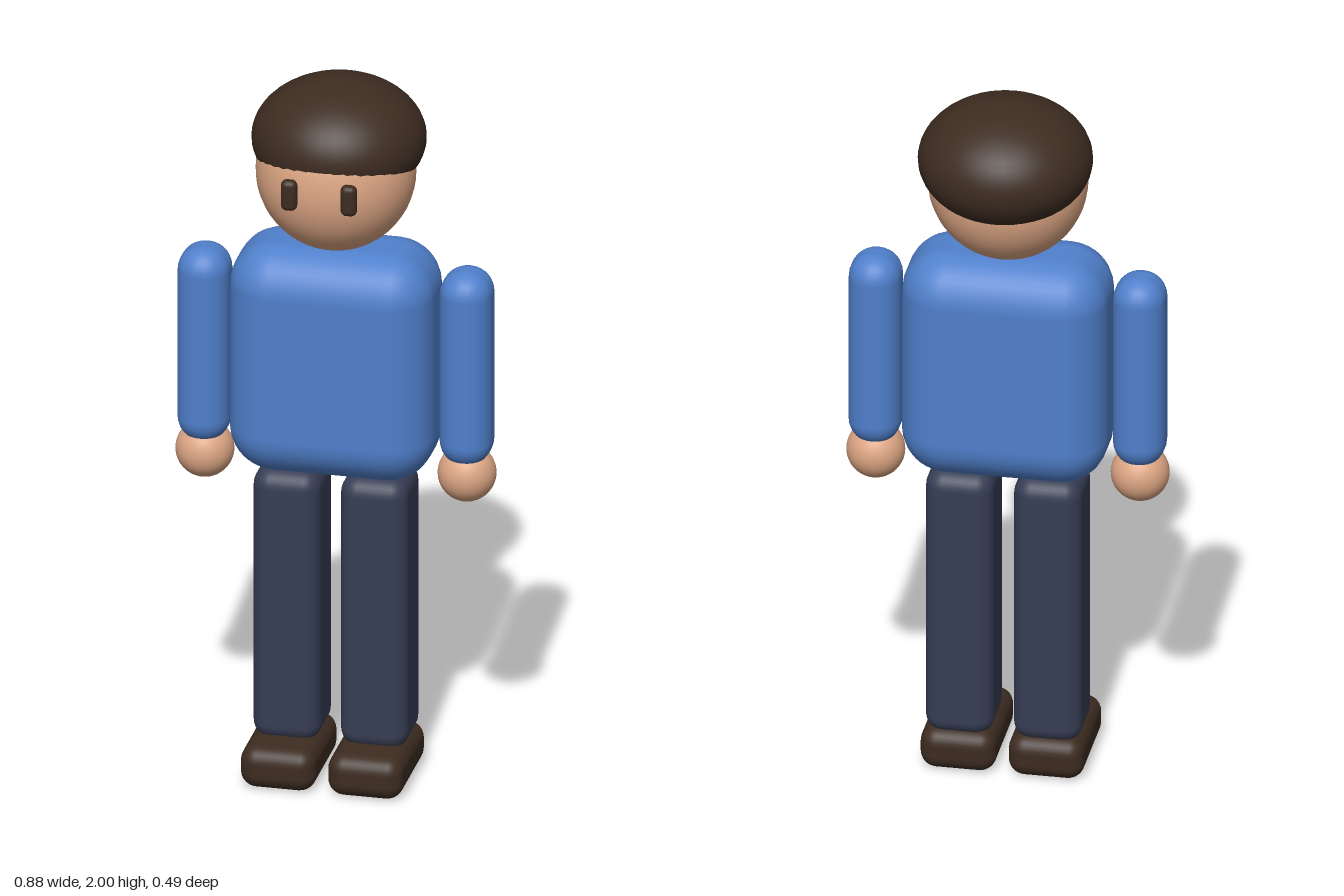
import * as THREE from 'three';
import { RoundedBoxGeometry } from 'three/addons/geometries/RoundedBoxGeometry.js';

function material(name, color) {
  const m = new THREE.MeshStandardMaterial({ color });
  m.name = name;
  return m;
}

export function createModel() {
  const model = new THREE.Group();
  model.name = 'standingMan';

  const skin = material('skin', 0xdca583);
  const brown = material('darkBrown', 0x3d2c21);
  const blue = material('shirtBlue', 0x5080cc);
  const navy = material('trouserNavy', 0x373e55);
  const Z = 0.024; // shared depth centre of the body

  function add(name, geometry, mat, x, y, z) {
    const mesh = new THREE.Mesh(geometry, mat);
    mesh.name = name;
    mesh.position.set(x, y, z);
    model.add(mesh);
    return mesh;
  }
  const box = (w, h, d, r) => new RoundedBoxGeometry(w, h, d, 4, r);
  const ball = (rx, ry, rz) => new THREE.SphereGeometry(1, 40, 28).scale(rx, ry, rz);

  // Head, with a flattened cap of hair set higher and further back
  add('head', ball(0.216, 0.222, 0.205), skin, 0, 1.755, Z);
  add('hair', ball(0.235, 0.165, 0.232), brown, 0, 1.835, -0.013);

  // Torso
  add('torso', box(0.56, 0.66, 0.322, 0.125), blue, 0, 1.215, Z);

  // Paired parts
  for (const [side, s] of [['left', 1], ['right', -1]]) {
    add(side + 'Eye', box(0.044, 0.088, 0.034, 0.016), brown, s * 0.082, 1.758, 0.226);
    add(side + 'Arm', box(0.142, 0.565, 0.16, 0.069), blue, s * 0.36, 1.215, Z);
    add(side + 'Hand', ball(0.079, 0.079, 0.079), skin, s * 0.36, 0.902, Z);
    add(side + 'Leg', box(0.185, 0.79, 0.205, 0.05), navy, s * 0.12, 0.495, Z);
    add(side + 'Shoe', box(0.206, 0.12, 0.323, 0.045), brown, s * 0.12, 0.06, 0.067);
  }
  return model;
}
